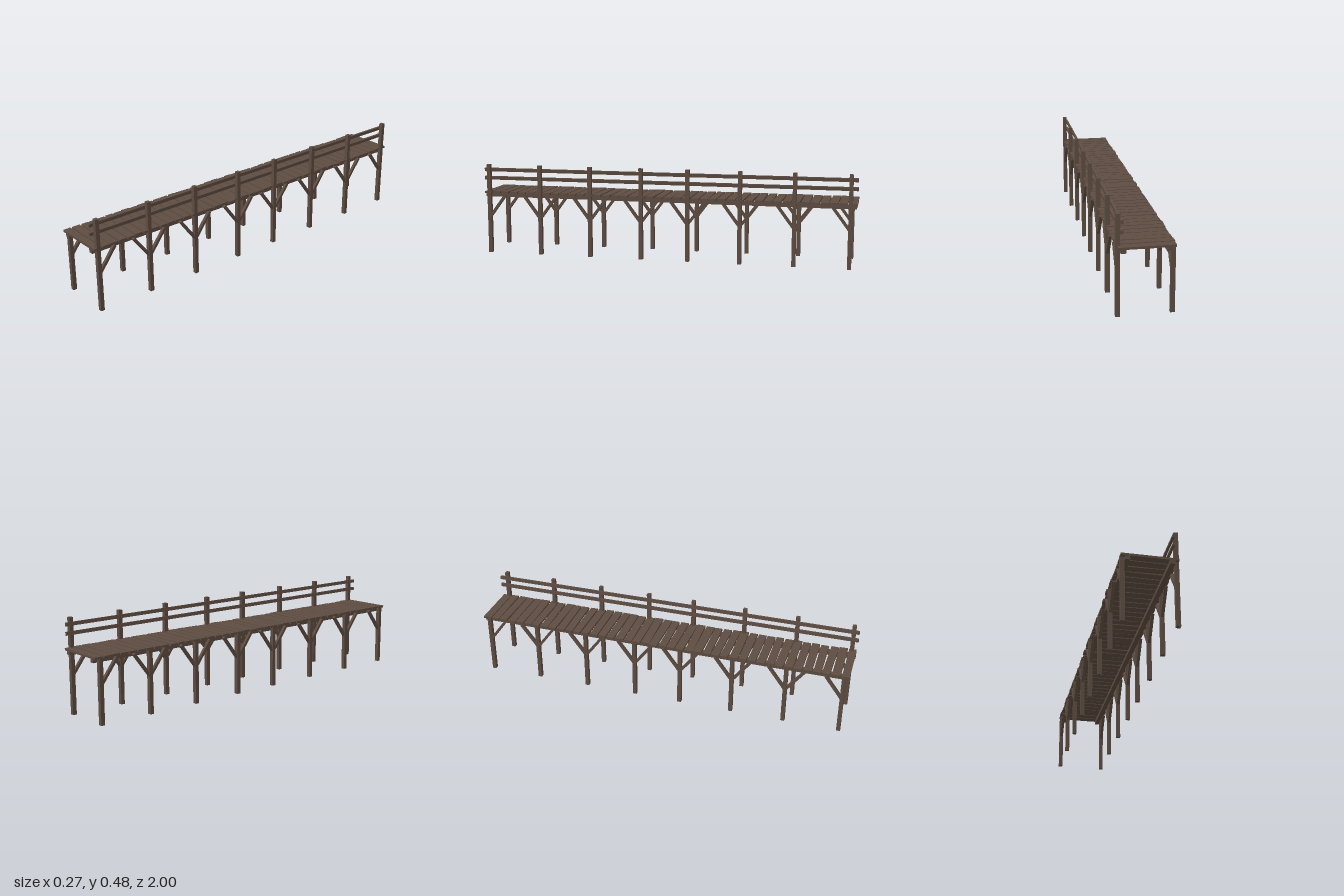
import * as THREE from 'three';

export function createModel() {
  const model = new THREE.Group();
  model.name = 'boardwalk';
  const wood = new THREE.MeshStandardMaterial({ color: 0x5d4c41 });
  wood.name = 'dark weathered wood';

  let seed = 7;
  const vary = (amount) => {
    seed = (seed * 16807) % 2147483647;
    return (seed / 2147483647 - 0.5) * 2 * amount;
  };

  function beam(name, w, h, d, x, y, z, parent = model) {
    const mesh = new THREE.Mesh(new THREE.BoxGeometry(w, h, d), wood);
    mesh.name = name;
    mesh.position.set(x, y, z);
    parent.add(mesh);
    return mesh;
  }

  // Diagonal brace from a post up to the deck, in the plane of the posts
  function brace(x, z, dir) {
    const from = new THREE.Vector3(x, 0.195, z);
    const to = new THREE.Vector3(x, 0.318, z + dir * 0.092);
    const mid = from.clone().add(to).multiplyScalar(0.5);
    const mesh = beam('brace', 0.016, from.distanceTo(to), 0.014, mid.x, mid.y, mid.z);
    mesh.rotation.x = Math.atan2(to.z - from.z, to.y - from.y);
  }

  // Posts: tall on the railing side, ending below the deck on the other
  const postZ = [0.97, 0.68, 0.40, 0.12, -0.13, -0.405, -0.685, -0.965];
  postZ.forEach((z, i) => {
    beam('tallPost', 0.021, 0.483, 0.02, 0.125, 0.2415, z);
    beam('shortPost', 0.021, 0.322, 0.02, -0.125, 0.166, z);
    for (const x of [-0.124, 0.125]) {
      if (i > 0) brace(x, z, 1);
      if (i < postZ.length - 1) brace(x, z, -1);
    }
  });

  // Long bearers under the deck
  for (const side of [-1, 1]) {
    beam('bearer', 0.024, 0.02, 1.99, side * 0.103, 0.316, 0);
  }

  // Uneven deck planks
  const deck = new THREE.Group();
  deck.name = 'deck';
  model.add(deck);
  const count = 42;
  const pitch = 2 / count;
  for (let i = 0; i < count; i++) {
    const end = i === 0 || i === count - 1;
    const z = -1 + pitch * (i + 0.5);
    const plank = beam('plank', 0.266 + vary(0.004), 0.011, 0.041 + vary(0.003),
      -0.002 + vary(0.003), 0.331 + vary(0.001), z, deck);
    plank.rotation.y = end ? 0.012 : vary(0.025);
  }

  // Two handrails on the inner face of the tall posts, slightly rolled
  for (const y of [0.408, 0.453]) {
    const rail = beam('handrail', 0.011, 0.018, 2, 0.11, y, 0);
    rail.rotation.z = -0.15;
  }
  return model;
}
